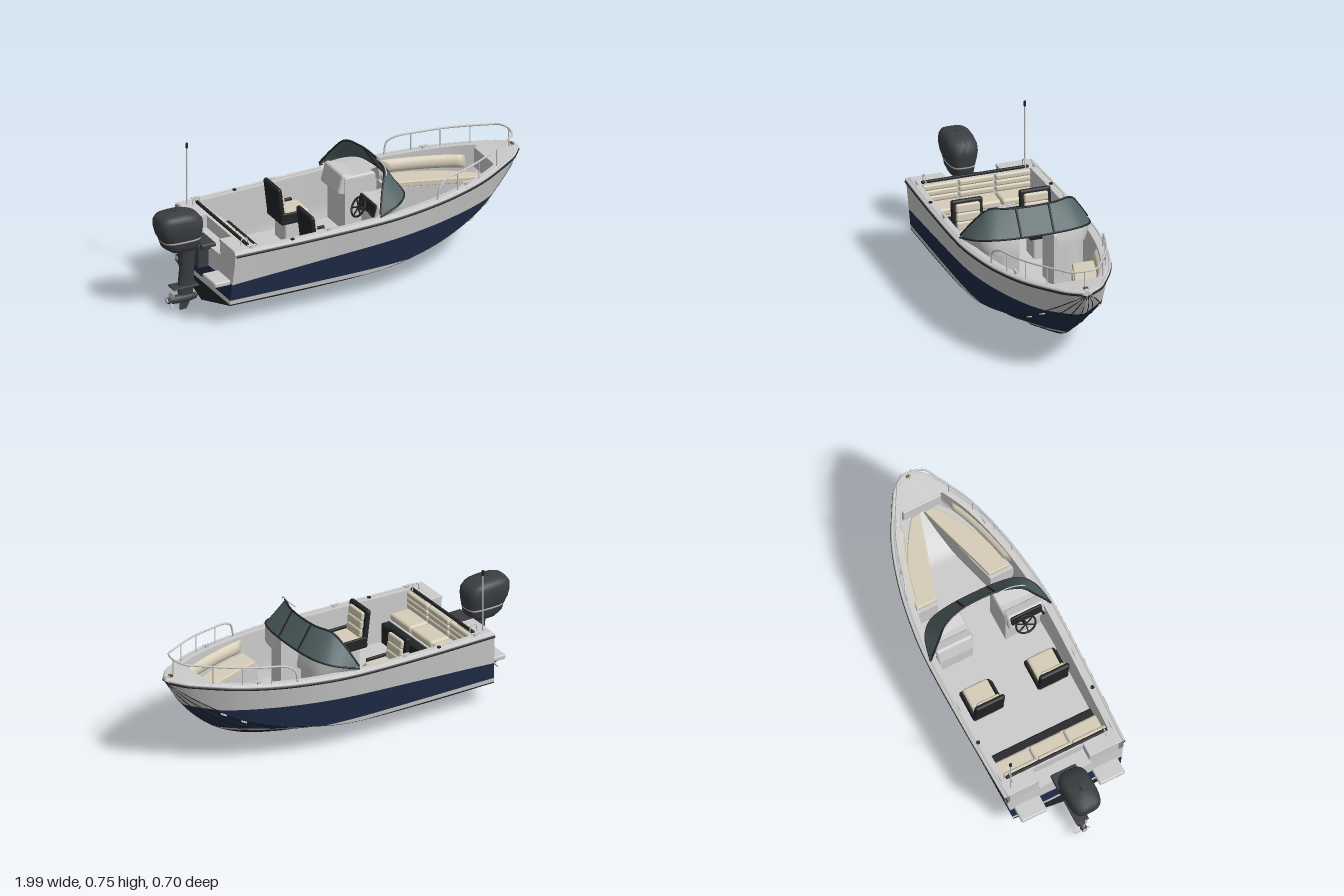
import * as THREE from 'three';
import { RoundedBoxGeometry } from 'three/addons/geometries/RoundedBoxGeometry.js';

const GREY = 0xcccccc, NAVY = 0x1f2d4a, BLACK = 0x222426, BEIGE = 0xd6cdb8, ENGINE = 0x3b3e42, GLASS = 0x536466;
const V = (x, y, z) => new THREE.Vector3(x, y, z);
const clamp = THREE.MathUtils.clamp, lerp = THREE.MathUtils.lerp;

// Hull lines: x, keel y, chine z, chine y, sheer z, sheer y
const LINES = [
  [-0.73, 0.03, 0.295, 0.12, 0.327, 0.4], [-0.3, 0.03, 0.297, 0.122, 0.339, 0.407],
  [0.1, 0.03, 0.294, 0.135, 0.342, 0.419], [0.3, 0.036, 0.278, 0.165, 0.324, 0.429],
  [0.5, 0.068, 0.238, 0.21, 0.286, 0.442], [0.7, 0.155, 0.179, 0.285, 0.222, 0.46],
  [0.85, 0.28, 0.11, 0.375, 0.142, 0.476], [0.95, 0.405, 0.053, 0.445, 0.076, 0.487],
  [0.99, 0.475, 0.012, 0.48, 0.022, 0.491]];

// Smooth interpolation of the hull lines at x; the bottom grows fuller towards the bow
function lines(x) {
  const n = LINES.length - 1;
  let i = 0;
  while (i < n - 1 && x > LINES[i + 1][0]) i++;
  const a = LINES[i], b = LINES[i + 1], p = LINES[Math.max(i - 1, 0)], q = LINES[Math.min(i + 2, n)];
  const h = b[0] - a[0], t = clamp((x - a[0]) / h, 0, 1), t2 = t * t, t3 = t2 * t;
  const [yk, zc, yc, zs, ys] = [1, 2, 3, 4, 5].map(k => {
    const m0 = (b[k] - p[k]) / (b[0] - p[0]) * h, m1 = (q[k] - a[k]) / (q[0] - a[0]) * h;
    return (2 * t3 - 3 * t2 + 1) * a[k] + (t3 - 2 * t2 + t) * m0 + (3 * t2 - 2 * t3) * b[k] + (t3 - t2) * m1;
  });
  return { yk, zc, yc, zs, ys, power: lerp(1, 0.8, clamp(x / 0.6, 0, 1)) };
}
// Half breadth of the hull at height y
function breadth(L, y) {
  if (y <= L.yc) return L.zc * clamp((y - L.yk) / Math.max(L.yc - L.yk, 1e-4), 0, 1) ** L.power;
  return lerp(L.zc, L.zs, clamp((y - L.yc) / Math.max(L.ys - L.yc, 1e-4), 0, 1));
}
// Raked transom
const rake = (x, y) => x + (y - 0.42) * 0.07 * clamp((-0.4 - x) / 0.3, 0, 1) + 0.015 * clamp((-0.6 - x) / 0.13, 0, 1);

// Paint lines from keel to sheer
function paintLines(x, L) {
  const t = (x + 0.73) / 1.62;
  return [0, 0.125 + 0.012 * t, 0.148 + 0.012 * t, 0.235 + 0.13 * t - 0.03 * t * t, 9].map(y => clamp(y, L.yk, L.ys));
}

// Grid surface from a function of (u, v)
function loft(fn, nu, nv) {
  const pos = [], idx = [];
  for (let i = 0; i <= nu; i++) for (let j = 0; j <= nv; j++) {
    pos.push(...fn(i / nu, j / nv));
    if (i < nu && j < nv) {
      const a = i * (nv + 1) + j, b = a + nv + 1;
      idx.push(a, b, a + 1, b, b + 1, a + 1);
    }
  }
  const g = new THREE.BufferGeometry();
  g.setAttribute('position', new THREE.Float32BufferAttribute(pos, 3));
  g.setIndex(idx);
  g.computeVertexNormals();
  return g;
}

export function createModel() {
  const model = new THREE.Group();
  model.name = 'motorBoat';
  const add = (name, color, geo, p = [0, 0, 0], r = [0, 0, 0]) => {
    const m = new THREE.Mesh(geo, new THREE.MeshStandardMaterial({ color, side: THREE.DoubleSide }));
    m.name = name; m.position.set(...p); m.rotation.set(...r);
    model.add(m);
  };
  const box = (name, color, p, s, rad = 0, r) =>
    add(name, color, rad ? new RoundedBoxGeometry(...s, 3, rad) : new THREE.BoxGeometry(...s), p, r);
  const cyl = (name, color, p, r0, r1, h, r) => add(name, color, new THREE.CylinderGeometry(r0, r1, h, 16), p, r);
  const tube = (name, color, pts, rad, n = 60) =>
    add(name, color, new THREE.TubeGeometry(new THREE.CatmullRomCurve3(pts), n, rad, 8));
  // Horizontal slab from an outline in x, z
  const plate = (name, color, pts, s, top, h, bevel = 0.006) => {
    const shape = new THREE.Shape(pts.map(([x, z]) => new THREE.Vector2(x, z * s)));
    const g = new THREE.ExtrudeGeometry(shape, { depth: h - 2 * bevel, bevelSize: bevel, bevelThickness: bevel, bevelSegments: 3, bevelOffset: -bevel });
    add(name, color, g.rotateX(Math.PI / 2), [0, top - bevel, 0]);
  };
  const sides = [1, -1];
  const station = u => -0.73 + 1.72 * u;

  // Painted hull skin, creased at the chine
  const paints = [['hullBottom', BLACK], ['waterlineStripe', GREY], ['hullBand', NAVY], ['topsides', GREY]];
  paints.forEach(([name, color], k) => {
    for (const s of sides) for (const upper of [0, 1]) add(name, color, loft((u, v) => {
      const x = station(u), L = lines(x), e = paintLines(x, L), mid = clamp(L.yc, e[k], e[k + 1]);
      const y = upper ? lerp(mid, e[k + 1], v) : lerp(e[k], mid, v);
      return [rake(x, y), y, s * breadth(L, y)];
    }, 120, 5));
    // Transom, cut down in the middle for the engine
    add('transom', color, loft((u, v) => {
      const L = lines(-0.73), e = paintLines(-0.73, L), y = lerp(e[k], Math.min(e[k + 1], 0.34), u);
      return [rake(-0.73, y), y, breadth(L, y) * (2 * v - 1)];
    }, 8, 2));
  });

  const floorY = x => Math.max(0.17, lines(x).yk + 0.06);
  const wallZ = (x, y) => Math.max(0, Math.min(breadth(lines(x), y) - 0.012, lines(x).zs - 0.045));

  // Windscreen edges, from one side round the front to the other
  const mirror = half => new THREE.CatmullRomCurve3([...half.slice(1).reverse().map(([x, y, z]) => V(x, y, -z)), ...half.map(p => V(...p))]);
  const top = mirror([[0.2, 0.615, 0], [0.19, 0.615, 0.12], [0.155, 0.61, 0.214], [0.118, 0.55, 0.267], [0.075, 0.455, 0.331]]);
  const foot = mirror([[0.28, 0.49, 0], [0.273, 0.49, 0.15], [0.25, 0.488, 0.245], [0.195, 0.474, 0.3], [0.075, 0.443, 0.333]]);

  for (const s of sides) {
    // Gunwale top and inner cockpit lining
    add('gunwale', GREY, loft((u, v) => {
      const x = station(u), L = lines(x);
      return [rake(x, L.ys), L.ys + 0.012 * Math.min(1, v * 4), s * Math.max(0, L.zs - 0.045 * v)];
    }, 80, 4));
    add('cockpitLining', GREY, loft((u, v) => {
      const x = lerp(-0.63, 0.83, u), y = lerp(lines(x).ys + 0.012, floorY(x), v);
      return [x, y, s * wallZ(x, y)];
    }, 60, 10));
    // Rub rail with dark insert, strakes and chine rail
    const rail = (name, color, rad, fn) => tube(name, color,
      Array.from({ length: 30 }, (_, i) => { const x = station(i / 29), p = fn(lines(x)); return V(rake(x, p[0]), p[0], s * p[1]); }), rad, 90);
    rail('gunwaleMoulding', GREY, 0.007, L => [L.ys + 0.005, L.zs - 0.001]);
    rail('rubRail', BLACK, 0.007, L => [L.ys - 0.006, L.zs + 0.001]);
    for (const f of [0.33, 0.65, 0.98]) rail('strake', BLACK, 0.0025, L => { const y = lerp(L.yk, L.yc, f); return [y, breadth(L, y)]; });
    // Spray fins near the bow
    for (const [x, y] of [[0.65, 0.245], [0.75, 0.3]])
      box('bowFin', GREY, [x, y, s * breadth(lines(x), y)], [0.03, 0.006, 0.02], 0, [0, s * 0.4, 0.4]);
    // Stern corners and swim platforms
    box('sternCorner', GREY, [-0.667, 0.335, s * 0.22], [0.085, 0.15, 0.16]);
    plate('sternCornerTop', GREY, [[-0.715, 0.14], [-0.715, 0.312], [-0.62, 0.316], [-0.62, 0.14]], s, 0.415, 0.015, 0.003);
    box('swimPlatform', GREY, [-0.765, 0.238, s * 0.215], [0.095, 0.026, 0.14], 0.008);
    // Mooring cleats
    for (const x of [-0.62, -0.2, 0.6]) {
      const L = lines(x), z = s * (L.zs - 0.025);
      box('cleat', GREY, [x, L.ys + 0.028, z], [0.05, 0.007, 0.01], 0.003);
      box('cleatFoot', GREY, [x, L.ys + 0.018, z], [0.018, 0.018, 0.008]);
    }
    cyl('fuelCap', BLACK, [-0.4, 0.419, s * 0.315], 0.01, 0.01, 0.006);

    // Bow seating, fitted to the hull
    const inner = x => lerp(0.145, 0.015, (x - 0.36) / 0.46);
    add('bowBenchTop', GREY, loft((u, v) => {
      const x = lerp(0.36, 0.82, u), w = wallZ(x, 0.33);
      return [x, 0.33, s * lerp(w, Math.min(inner(x), w), v)];
    }, 24, 1));
    add('bowBenchFront', GREY, loft((u, v) => {
      const x = lerp(0.36, 0.82, u);
      return [x, lerp(0.33, Math.min(floorY(x), 0.33), v), s * Math.min(inner(x), wallZ(x, 0.33))];
    }, 24, 1));
    add('bowBenchEnd', GREY, loft((u, v) => {
      const y = lerp(0.17, 0.33, u);
      return [0.36, y, s * lerp(wallZ(0.36, y), inner(0.36), v)];
    }, 4, 1));
    plate('bowCushion', BEIGE, [[0.375, 0.255], [0.45, 0.245], [0.53, 0.222], [0.61, 0.187], [0.69, 0.145], [0.76, 0.1], [0.815, 0.06],
      [0.815, 0.012], [0.7, 0.046], [0.6, 0.077], [0.48, 0.115], [0.375, 0.144]], s, 0.36, 0.032, 0.006);
    add('bowBackrest', BEIGE, loft((u, v) => {
      const x = lerp(0.38, 0.78, u), y = lerp(0.36, 0.43, v);
      return [x, y, s * (wallZ(x, y) - 0.024 * Math.sin(v * Math.PI) ** 0.5 * Math.min(1, 12 * u, 12 * (1 - u)))];
    }, 36, 10));

    // Consoles, with a shoulder closing the gap under the windscreen
    plate('console', GREY, [[0.095, 0.09], [0.262, 0.09], [0.25, 0.17], [0.222, 0.235], [0.17, 0.275], [0.095, 0.282]], s, 0.47, 0.3, 0.012);
    add('consoleShoulder', GREY, loft((u, v) => {
      const p = foot.getPoint(0.5 + s * lerp(0.08, 0.5, u));
      return [p.x + 0.012 * Math.sin(v * 1.57), lerp(p.y, 0.41, v), p.z - s * 0.035 * v * u];
    }, 30, 6));
    add('consoleTop', GREY, loft((u, v) => {
      const p = foot.getPoint(0.5 + s * lerp(0.08, 0.5, u));
      return [lerp(p.x, 0.085, v), lerp(p.y, 0.455, v), p.z];
    }, 20, 4));
    box('dashboard', GREY, [0.1, 0.425, s * 0.195], [0.06, 0.11, 0.2], 0.015, [0, 0, -0.25]);

    // Helm seats
    const z = s * 0.178;
    box('seatBox', GREY, [-0.165, 0.225, z], [0.11, 0.12, 0.12], 0.01);
    box('seatShell', BLACK, [-0.17, 0.295, z], [0.165, 0.03, 0.17], 0.012);
    box('seatCushion', BEIGE, [-0.165, 0.318, z], [0.15, 0.035, 0.138], 0.014);
    box('seatBack', BLACK, [-0.25, 0.392, z], [0.026, 0.18, 0.165], 0.012, [0, 0, 0.12]);
    for (let i = 0; i < 3; i++) box('seatBackPad', BEIGE, [-0.228 - i * 0.006, 0.352 + i * 0.045, z], [0.025, 0.046, 0.125], 0.01, [0, 0, 0.12]);
    for (const t of sides) box('seatBolster', BLACK, [-0.18, 0.32, z + t * 0.078], [0.13, 0.045, 0.014], 0.006);
  }
  // Floors, bulkheads and bow deck
  add('cockpitFloor', GREY, loft((u, v) => {
    const x = lerp(-0.64, 0.83, u), f = floorY(x);
    return [x, f, (2 * v - 1) * wallZ(x, f)];
  }, 50, 2));
  add('bowDeck', GREY, loft((u, v) => {
    const x = lerp(0.82, 0.99, u), L = lines(x), w = 2 * v - 1;
    return [x, L.ys + 0.012 + 0.003 * (1 - w * w), w * Math.max(L.zs - 0.006, 0.005)];
  }, 16, 8));
  box('bowBulkhead', GREY, [0.82, 0.425, 0], [0.02, 0.11, 0.21], 0.005);
  box('sternBulkhead', GREY, [-0.632, 0.285, 0], [0.018, 0.24, 0.585]);
  box('engineWell', GREY, [-0.675, 0.335, 0], [0.1, 0.012, 0.29]);
  tube('keelStrip', BLACK, Array.from({ length: 25 }, (_, i) => { const x = station(i / 24), y = lines(x).yk; return V(rake(x, y), y, 0); }), 0.002);

  // Stern bench in three sections
  box('benchBase', GREY, [-0.555, 0.225, 0], [0.13, 0.12, 0.56]);
  box('benchFront', BLACK, [-0.473, 0.225, 0], [0.055, 0.11, 0.56], 0.008);
  box('benchTrim', BLACK, [-0.627, 0.42, 0], [0.016, 0.014, 0.56], 0.005);
  for (const z of [-0.19, 0, 0.19]) {
    box('benchCushion', BEIGE, [-0.555, 0.3, z], [0.115, 0.04, 0.183], 0.014);
    for (let i = 0; i < 3; i++) box('benchBackPad', BEIGE, [-0.609, 0.335 + i * 0.031, z], [0.026, 0.032, 0.183], 0.011);
  }

  // Wraparound windscreen
  add('windscreen', GLASS, loft((u, v) => foot.getPoint(u).lerp(top.getPoint(u), v).toArray(), 60, 6));
  for (const c of [top, foot]) add('windscreenFrame', BLACK, new THREE.TubeGeometry(c, 70, 0.005, 8));
  for (const s of sides) tube('windscreenPillar', BLACK, [V(0.277, 0.49, s * 0.085), V(0.196, 0.615, s * 0.085)], 0.006, 2);
  tube('grabHandle', GREY, [V(0.16, 0.61, 0.233), V(0.165, 0.626, 0.215), V(0.18, 0.632, 0.15), V(0.18, 0.632, 0.085)], 0.003);

  // Steering wheel, gauges and throttle
  add('steeringWheel', BLACK, new THREE.TorusGeometry(0.052, 0.005, 8, 32), [0.035, 0.44, 0.172], [0, Math.PI / 2, -0.55, 'ZYX']);
  for (let i = 0; i < 3; i++) box('wheelSpoke', BLACK, [0.035, 0.44, 0.172], [0.005, 0.1, 0.006], 0, [i * Math.PI / 3, 0, -0.55, 'ZYX']);
  cyl('steeringColumn', BLACK, [0.06, 0.424, 0.172], 0.009, 0.011, 0.06, [0, 0, 1.02]);
  box('instrumentPanel', BLACK, [0.077, 0.45, 0.195], [0.02, 0.06, 0.17], 0.006, [0, 0, -0.25]);
  tube('throttleLever', BLACK, [V(0.08, 0.41, 0.275), V(0.05, 0.44, 0.275), V(0.04, 0.46, 0.27)], 0.006, 12);

  // Bow rail with posts
  const railAt = x => V(x, 0.538 + (x - 0.46) * 0.114, Math.max(0, lines(x).zs - 0.02));
  const half = [V(0.41, 0.445, 0.29), V(0.425, 0.51, 0.29), ...[0.47, 0.58, 0.7, 0.8, 0.88, 0.93].map(railAt)];
  tube('bowRail', GREY, [...half, V(0.95, 0.594, 0), ...half.slice().reverse().map(p => V(p.x, p.y, -p.z))], 0.005, 140);
  const post = p => cyl('railPost', GREY, [p.x, (p.y + lines(p.x).ys) / 2, p.z], 0.003, 0.003, p.y - lines(p.x).ys);
  for (const x of [0.54, 0.68, 0.81]) for (const s of sides) post(railAt(x).multiply(V(1, 1, s)));
  post(V(0.95, 0.594, 0));
  // Navigation lights and antenna
  box('bowLightBase', GREY, [0.965, 0.505, 0], [0.03, 0.01, 0.02], 0.004);
  box('portLight', 0xb02030, [0.965, 0.511, -0.006], [0.015, 0.008, 0.01]);
  box('starboardLight', 0x208040, [0.965, 0.511, 0.006], [0.015, 0.008, 0.01]);
  cyl('sternLightPole', GREY, [-0.68, 0.57, -0.28], 0.0035, 0.004, 0.31);
  cyl('sternLight', BLACK, [-0.68, 0.735, -0.28], 0.007, 0.007, 0.025);
  for (const s of sides) tube('sternGrabRail', GREY, [V(-0.66, 0.41, s * 0.26), V(-0.65, 0.45, s * 0.26), V(-0.625, 0.45, s * 0.26), V(-0.615, 0.41, s * 0.26)], 0.003, 20);

  // Outboard engine: rounded rings of [y, x back, x front, half width]
  const rings = (name, color, R, e = 0.6) => add(name, color, loft((u, v) => {
    const r = R[Math.round(u * (R.length - 1))], a = v * Math.PI * 2, c = Math.cos(a), d = Math.sin(a);
    const x = (r[1] + r[2]) / 2 + (r[2] - r[1]) / 2 * Math.sign(c) * Math.abs(c) ** e;
    // The cowl top slopes down towards the boat
    return [x, r[0] - 0.12 * Math.max(0, x + 0.86) * clamp((r[0] - 0.45) / 0.05, 0, 1), r[3] * Math.sign(d) * Math.abs(d) ** e];
  }, R.length - 1, 40));
  rings('engineCowl', ENGINE, [[0.398, -0.967, -0.755, 0.066], [0.43, -0.983, -0.752, 0.076], [0.47, -0.993, -0.75, 0.082], [0.505, -0.993, -0.752, 0.079], [0.526, -0.98, -0.77, 0.07], [0.538, -0.955, -0.81, 0.05], [0.541, -0.9, -0.87, 0.005]]);
  rings('cowlStripe', GREY, [[0.39, -0.965, -0.757, 0.066], [0.4, -0.97, -0.754, 0.068]]);
  rings('engineLowerCowl', ENGINE, [[0.325, -0.86, -0.8, 0.03], [0.335, -0.92, -0.78, 0.05], [0.36, -0.955, -0.76, 0.06], [0.392, -0.966, -0.756, 0.065]]);
  rings('engineLeg', ENGINE, [[0.07, -0.87, -0.79, 0.012], [0.13, -0.872, -0.785, 0.018], [0.22, -0.862, -0.785, 0.026], [0.34, -0.872, -0.775, 0.038]], 0.9);
  box('ventilationPlate', ENGINE, [-0.84, 0.13, 0], [0.14, 0.008, 0.07], 0.003);
  const pod = new THREE.LatheGeometry([[0, -0.09], [0.014, -0.085], [0.022, -0.04], [0.022, 0.03], [0.015, 0.07], [0, 0.085]].map(p => new THREE.Vector2(...p)), 20);
  add('gearcase', ENGINE, pod, [-0.845, 0.062, 0], [0, 0, -Math.PI / 2]);
  const fin = new THREE.Shape([[-0.86, 0.05], [-0.8, 0.05], [-0.825, 0.002], [-0.86, 0]].map(p => new THREE.Vector2(...p)));
  add('skeg', ENGINE, new THREE.ExtrudeGeometry(fin, { depth: 0.006, bevelEnabled: false }), [0, 0, -0.003]);
  for (let i = 0; i < 3; i++) {
    const blade = new THREE.SphereGeometry(1, 14, 10).scale(0.004, 0.026, 0.018).rotateY(0.6).translate(0, 0.03, 0).rotateX(i * Math.PI * 2 / 3 + 0.4);
    add('propellerBlade', GREY, blade, [-0.912, 0.062, 0]);
  }
  cyl('propellerHub', GREY, [-0.915, 0.062, 0], 0.013, 0.016, 0.04, [0, 0, Math.PI / 2]);
  box('engineBracket', ENGINE, [-0.755, 0.29, 0], [0.06, 0.13, 0.1], 0.01);
  box('engineClamp', ENGINE, [-0.735, 0.345, 0], [0.08, 0.03, 0.14], 0.008);
  return model;
}
